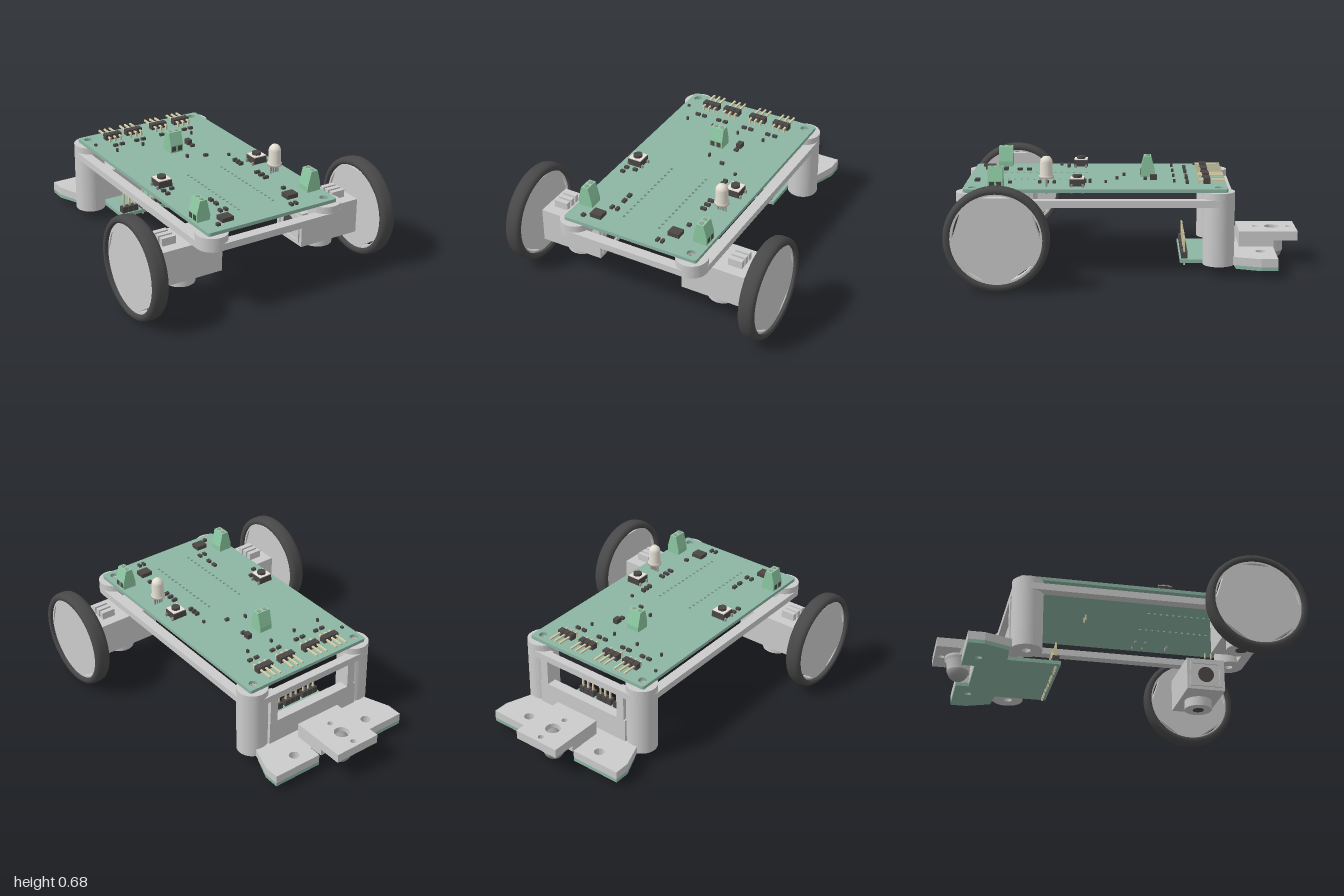
import * as THREE from 'three';

const mat = (c) => new THREE.MeshStandardMaterial({ color: c, side: THREE.DoubleSide });

export function createModel() {
  const root = new THREE.Group();
  const grey = mat(0xcccccc), green = mat(0x8cb5a3), terminalGreen = mat(0x8cc9a2), black = mat(0x4c4747),
    rubber = mat(0x484848), gold = mat(0xd8cfa8), cream = mat(0xe6e0d4), steel = mat(0x999999);

  const add = (name, geo, m, x = 0, y = 0, z = 0, parent = root) => {
    const mesh = new THREE.Mesh(geo, m);
    mesh.name = name;
    mesh.position.set(x, y, z);
    parent.add(mesh);
    return mesh;
  };
  // Box given by its ranges on each axis
  const box = (name, m, x0, x1, y0, y1, z0, z1) =>
    add(name, new THREE.BoxGeometry(x1 - x0, y1 - y0, z1 - z0), m, (x0 + x1) / 2, (y0 + y1) / 2, (z0 + z1) / 2);
  const cyl = (name, m, r, x, y0, y1, z, seg = 32) =>
    add(name, new THREE.CylinderGeometry(r, r, y1 - y0, seg), m, x, (y0 + y1) / 2, z);
  // Outline in plan (x, z)
  const outline = (pts) => new THREE.Shape(pts.map(([x, z]) => new THREE.Vector2(x, -z)));
  const roundRect = (x0, x1, z0, z1, r) => {
    const s = new THREE.Shape(), q = Math.PI / 2;
    s.absarc(x1 - r, -z0 - r, r, 0, q);
    s.absarc(x0 + r, -z0 - r, r, q, 2 * q);
    s.absarc(x0 + r, -z1 + r, r, 2 * q, 3 * q);
    s.absarc(x1 - r, -z1 + r, r, 3 * q, 4 * q);
    return s;
  };
  const drill = (s, x, z, r) => s.holes.push(new THREE.Path().absarc(x, -z, r, 0, Math.PI * 2, true));
  // Horizontal plate from a plan outline
  const plate = (name, m, s, y0, y1, seg = 8) => {
    const g = new THREE.ExtrudeGeometry(s, { depth: y1 - y0, bevelEnabled: false, curveSegments: seg });
    return add(name, g.rotateX(-Math.PI / 2), m, 0, y0, 0);
  };

  // Chassis frame, corner posts and rear wall
  const frame = roundRect(-0.46, 0.455, -0.61, 0.97, 0.09);
  frame.holes.push(roundRect(-0.4, 0.395, -0.56, 0.91, 0.04));
  plate('frameRail', grey, frame, 0.41, 0.45);
  for (const x of [-0.37, 0.365]) {
    for (const [name, z, y0] of [['frontCornerPad', 0.88, 0.41], ['rearPost', -0.52, 0.067]]) {
      const s = new THREE.Shape().absarc(x, -z, 0.09, 0, Math.PI * 2);
      drill(s, x, z, 0.025);
      plate(name, grey, s, y0, 0.49, 24);
    }
  }
  box('rearWall', grey, -0.32, 0.31, 0.067, 0.257, -0.61, -0.55);
  for (const x of [-0.285, 0.28]) box('rearWallJamb', grey, x - 0.025, x + 0.025, 0.25, 0.45, -0.61, -0.55);

  // Main circuit board with mounting and pin holes
  const board = roundRect(-0.42, 0.415, -0.57, 0.93, 0.015);
  for (const [x, z] of [[-0.375, -0.52], [0.36, -0.52], [0.36, 0.88]]) drill(board, x, z, 0.025);
  for (let i = 0; i < 15; i++) for (const x of [-0.125, 0.1]) drill(board, x, 0.243 + i * 0.0375, 0.009);
  plate('mainBoard', green, board, 0.49, 0.51, 6);

  // Rear angled headers
  for (const cx of [-0.243, -0.1, 0.077, 0.235]) {
    for (let i = -1; i <= 1; i++) {
      const x = cx + i * 0.036;
      box('headerHousing', black, x - 0.016, x + 0.016, 0.515, 0.55, -0.475, -0.437);
      box('headerPin', gold, x - 0.005, x + 0.005, 0.53, 0.54, -0.56, -0.41);
      box('headerLeg', gold, x - 0.005, x + 0.005, 0.465, 0.54, -0.42, -0.41);
    }
  }

  // Screw terminals: tapered block with two wire entries and screws
  const terminal = (x, z, turn) => {
    const t = new THREE.Group();
    t.name = 'screwTerminal';
    t.position.set(x, 0.51, z);
    t.rotation.y = turn;
    root.add(t);
    const s = new THREE.Shape([[-0.042, 0], [0.042, 0], [0.042, 0.045], [0.022, 0.122], [-0.02, 0.122], [-0.042, 0.03]]
      .map((p) => new THREE.Vector2(...p)));
    const g = new THREE.ExtrudeGeometry(s, { depth: 0.084, bevelEnabled: false }).translate(0, 0, -0.042);
    add('terminalBody', g, terminalGreen, 0, 0, 0, t);
    for (const k of [-0.02, 0.02]) {
      add('wireEntry', new THREE.BoxGeometry(0.004, 0.03, 0.026), black, 0.042, 0.024, k, t);
      add('terminalScrew', new THREE.CylinderGeometry(0.013, 0.013, 0.006, 12), steel, 0, 0.122, k, t);
      add('terminalLeg', new THREE.BoxGeometry(0.008, 0.05, 0.008), gold, 0, -0.03, k, t);
    }
  };
  terminal(-0.365, 0.748, Math.PI);
  terminal(0.36, 0.745, 0);
  terminal(-0.012, -0.12, -Math.PI / 2);

  // Push buttons
  for (const x of [-0.328, 0.312]) {
    box('buttonBase', black, x - 0.042, x + 0.042, 0.515, 0.555, 0.243, 0.327);
    box('buttonCover', cream, x - 0.04, x + 0.04, 0.555, 0.56, 0.245, 0.325);
    cyl('buttonCap', black, 0.026, x, 0.56, 0.575, 0.285, 20);
    for (const a of [-1, 1]) for (const b of [-1, 1]) {
      box('buttonLeg', steel, x + a * 0.046 - 0.006, x + a * 0.046 + 0.006, 0.475, 0.53, 0.279 + b * 0.032, 0.291 + b * 0.032);
    }
  }

  // Indicator lamp
  const lamp = [[0, 0.557], [0.042, 0.557], [0.042, 0.572], [0.036, 0.572], [0.036, 0.65], [0.031, 0.667], [0.018, 0.681], [0, 0.685]];
  add('lampBulb', new THREE.LatheGeometry(lamp.map((p) => new THREE.Vector2(...p)), 24), cream, 0.318, 0, 0.46);
  for (const k of [-0.024, -0.008, 0.008, 0.024]) box('lampLeg', steel, 0.314 + k, 0.322 + k, 0.47, 0.56, 0.456, 0.464);

  // Chips and small surface parts: x, z, width, depth, height
  const chips = [[-0.255, 0.832, 0.07, 0.06, 0.025], [0.205, 0.775, 0.07, 0.06, 0.025], [0.112, -0.152, 0.03, 0.04, 0.03],
    [0.112, -0.105, 0.025, 0.02, 0.015], [0.104, 0.06, 0.025, 0.018, 0.015], [0, 0.02, 0.012, 0.018, 0.02], [0.225, 0.125, 0.015, 0.015, 0.015],
    [-0.36, 0.36, 0.025, 0.018, 0.015], [-0.36, 0.405, 0.025, 0.018, 0.015], [-0.305, 0.358, 0.025, 0.018, 0.015],
    [0.21, 0.215, 0.025, 0.016, 0.02], [0.21, 0.245, 0.025, 0.016, 0.02], [0.21, 0.275, 0.025, 0.016, 0.02],
    [0.228, 0.42, 0.034, 0.018, 0.015], [0.228, 0.462, 0.034, 0.018, 0.015], [0.228, 0.505, 0.034, 0.018, 0.015],
    [-0.197, 0.595, 0.02, 0.03, 0.015], [-0.197, 0.65, 0.02, 0.03, 0.015], [-0.225, 0.735, 0.018, 0.028, 0.015],
    [-0.19, 0.735, 0.018, 0.028, 0.015], [0.232, 0.675, 0.022, 0.02, 0.015], [0.148, 0.87, 0.016, 0.028, 0.015],
    [0.178, 0.87, 0.016, 0.028, 0.015], [-0.325, 0.872, 0.022, 0.022, 0.015], [-0.38, -0.41, 0.015, 0.015, 0.012]];
  for (const x of [-0.28, -0.235, -0.135, -0.09, 0.04, 0.085, 0.2, 0.245]) chips.push([x, -0.345, 0.028, 0.018, 0.015]);
  for (const x of [-0.31, -0.135, 0.035, 0.205]) chips.push([x, -0.27, 0.012, 0.014, 0.02]);
  for (const [x, z, w, d, h] of chips) box('surfacePart', black, x - w / 2, x + w / 2, 0.51, 0.51 + h, z - d / 2, z + d / 2);

  // Motor holders, shafts and wheels, mirrored
  for (const s of [-1, 1]) {
    const span = (name, m, a, b, ...rest) => box(name, m, Math.min(s * a, s * b), Math.max(s * a, s * b), ...rest);
    span('motorHolder', grey, 0.263, 0.645, 0.2, 0.405, 0.58, 0.82);
    for (const z of [0.658, 0.7, 0.742]) span('holderRib', grey, 0.515, 0.6, 0.4, 0.45, z - 0.014, z + 0.014);
    span('gearboxFace', gold, 0.64, 0.652, 0.235, 0.365, 0.62, 0.79);
    span('motorRecess', grey, 0.255, 0.268, 0.22, 0.235, 0.6, 0.8);
    span('motorRecess', grey, 0.255, 0.268, 0.37, 0.385, 0.6, 0.8);
    for (const z of [0.6, 0.785]) span('motorRecess', grey, 0.255, 0.268, 0.22, 0.385, z, z + 0.015);
    add('motorEnd', new THREE.CylinderGeometry(0.05, 0.05, 0.01, 24).rotateZ(Math.PI / 2), black, s * 0.262, 0.3, 0.7);
    cyl('holderBoss', grey, 0.086, s * 0.46, 0.142, 0.21, 0.7);
    cyl('bossScrewHole', black, 0.035, s * 0.46, 0.14, 0.15, 0.7, 20);

    const wheel = new THREE.Group();
    wheel.name = s > 0 ? 'leftWheel' : 'rightWheel';
    wheel.position.set(s * 0.741, 0.3, 0.71);
    root.add(wheel);
    add('axle', new THREE.CylinderGeometry(0.02, 0.02, 0.12, 20).rotateZ(Math.PI / 2), steel, -s * 0.06, 0, 0, wheel);
    const tyre = [[0.252, -0.042], [0.262, -0.046], [0.276, -0.045], [0.287, -0.033], [0.291, -0.015],
      [0.291, 0.015], [0.287, 0.033], [0.276, 0.045], [0.262, 0.046], [0.252, 0.042], [0.252, -0.042]];
    add('tyre', new THREE.LatheGeometry(tyre.map((p) => new THREE.Vector2(...p)), 56).rotateZ(Math.PI / 2), rubber, 0, 0, 0, wheel);
    // Disc with five wedge openings
    const disc = new THREE.Shape().absarc(0, 0, 0.256, 0, Math.PI * 2);
    for (let i = 0; i < 5; i++) {
      const a = Math.PI / 2 + i * Math.PI * 0.4, w = Math.PI / 10, h = new THREE.Path();
      h.moveTo(0.06 * Math.cos(a), 0.06 * Math.sin(a));
      h.absarc(0, 0, 0.24, a - w, a + w, false);
      h.closePath();
      disc.holes.push(h);
    }
    const g = new THREE.ExtrudeGeometry(disc, { depth: 0.05, bevelEnabled: false, curveSegments: 28 });
    add('spokeDisc', g.translate(0, 0, -0.025).rotateY(Math.PI / 2), grey, 0, 0, 0, wheel);
  }

  // Rear flange and the sensor board under it
  const tail = [[0.455, -0.76], [0.455, -0.855], [0.15, -0.855], [0.15, -0.78], [-0.15, -0.78], [-0.15, -0.855], [-0.46, -0.855], [-0.46, -0.76]];
  const flange = outline([[0.4, -0.6], ...tail, [-0.4, -0.6]]);
  const sensor = outline([[0.27, -0.305], [0.27, -0.61], [0.4, -0.62], ...tail, [-0.4, -0.62], [-0.27, -0.61], [-0.27, -0.305]]);
  for (const x of [-0.268, 0.263]) {
    drill(flange, x, -0.772, 0.03);
    drill(sensor, x, -0.772, 0.02);
  }
  plate('rearFlange', grey, flange, 0.067, 0.115);
  plate('sensorBoard', green, sensor, 0.045, 0.067);
  for (const cx of [-0.202, -0.07, 0.06, 0.194]) {
    for (let i = -1; i <= 1; i++) {
      const x = cx + i * 0.038;
      box('sensorHeader', black, x - 0.017, x + 0.017, 0.067, 0.105, -0.35, -0.313);
      box('sensorPin', gold, x - 0.005, x + 0.005, 0.025, 0.19, -0.336, -0.326);
    }
  }

  // Caster bracket, housing and ball
  const bracket = outline([[-0.148, -0.655], [0.142, -0.655], [0.142, -1], [-0.148, -1]]);
  drill(bracket, -0.005, -0.96, 0.017);
  drill(bracket, -0.005, -0.762, 0.017);
  drill(bracket, -0.005, -0.86, 0.044);
  plate('casterBracket', grey, bracket, 0.15, 0.205, 20);
  box('bracketBase', grey, -0.148, 0.142, 0.11, 0.15, -0.78, -0.655);
  for (const x of [-0.148, 0.112]) box('bracketSide', grey, x, x + 0.03, 0.11, 0.15, -0.86, -0.78);
  const cup = [[0.044, 0.195], [0.08, 0.155], [0.08, 0.13], [0.067, 0.12], [0.066, 0.065], [0.06, 0.065]];
  add('casterHousing', new THREE.LatheGeometry(cup.map((p) => new THREE.Vector2(...p)), 32), grey, -0.005, 0, -0.86);
  add('casterBall', new THREE.SphereGeometry(0.062, 32, 20), steel, -0.005, 0.067, -0.86);
  add('casterTop', new THREE.SphereGeometry(0.043, 24, 12), steel, -0.005, 0.157, -0.86);
  return root;
}
